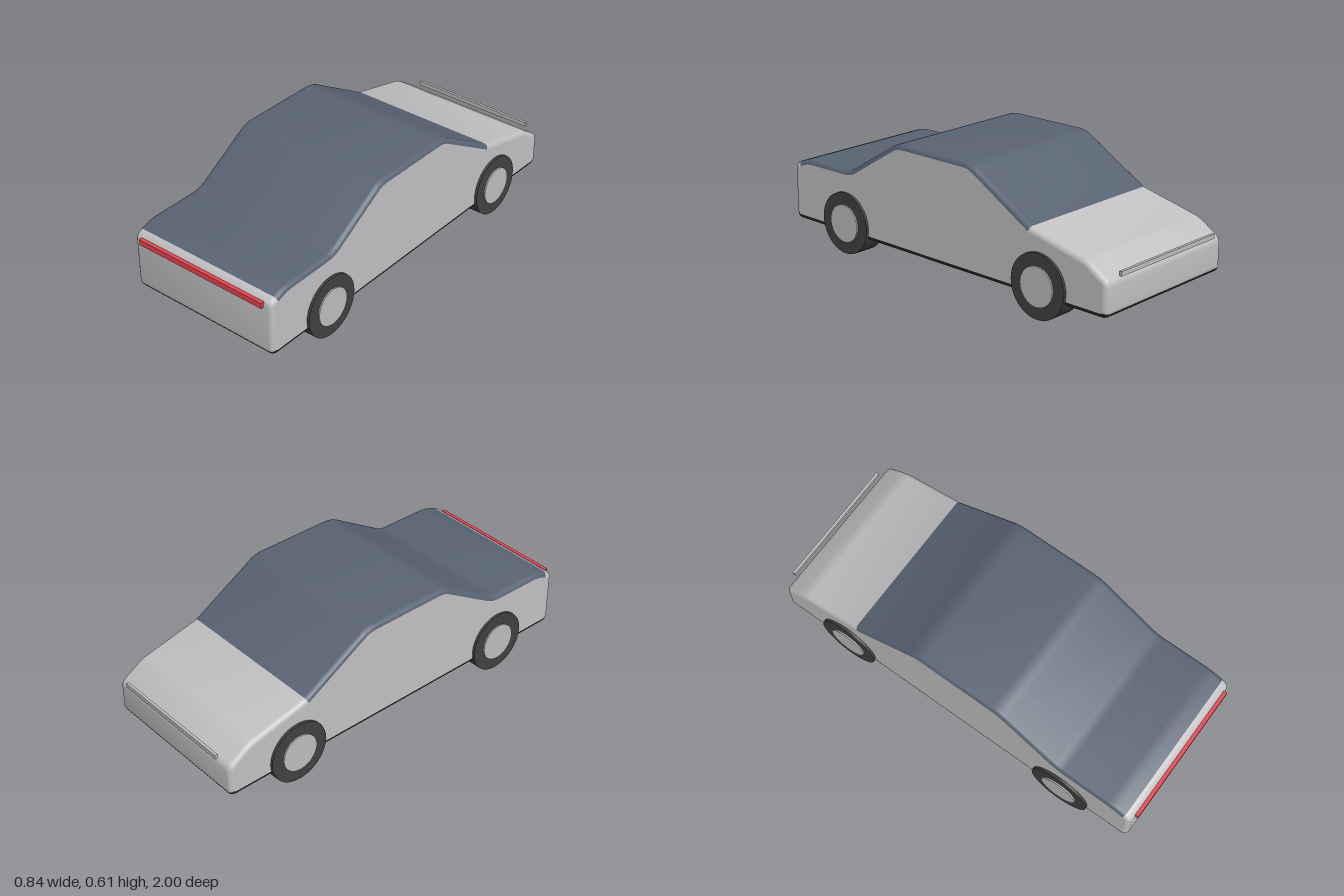
import * as THREE from 'three';
import { toCreasedNormals } from 'three/addons/utils/BufferGeometryUtils.js';

const paint = (name, color) => {
  const m = new THREE.MeshStandardMaterial({ color });
  m.name = name;
  return m;
};

const HALF_WIDTH = 0.4, BEVEL = 0.023;

// side outline, nose bottom -> over the roof -> tail bottom: [z, y, corner cut]
const CORNERS = [
  [0.985, 0.095, 0.035], [0.985, 0.373, 0.025], [0.95, 0.389, 0], [0.885, 0.411, 0.03],
  [0.585, 0.414, 0.035], [0.262, 0.611, 0.04], [-0.2, 0.611, 0.04], [-0.555, 0.404, 0],
  [-0.868, 0.332, 0.03], [-0.985, 0.257, 0.025], [-0.985, 0.095, 0.035],
];

function roundedOutline() {
  const pts = [];
  CORNERS.forEach(([z, y, cut], i) => {
    const p = new THREE.Vector2(z, y);
    if (!cut) return pts.push(p);
    const n = CORNERS.length;
    const toward = (c) => {
      const q = new THREE.Vector2(c[0], c[1]).sub(p);
      return q.setLength(Math.min(cut, q.length() * 0.8)).add(p);
    };
    const curve = new THREE.QuadraticBezierCurve(
      toward(CORNERS[(i + n - 1) % n]), p, toward(CORNERS[(i + 1) % n]));
    pts.push(...curve.getPoints(5));
  });
  return pts;
}

// mitred offset of the outline towards the inside
function inset(pts, d) {
  const n = pts.length;
  return pts.map((p, i) => {
    const a = p.clone().sub(pts[(i + n - 1) % n]).normalize();
    const b = pts[(i + 1) % n].clone().sub(p).normalize();
    const na = new THREE.Vector2(a.y, -a.x), nb = new THREE.Vector2(b.y, -b.x);
    const miter = na.clone().add(nb).divideScalar(1 + na.dot(nb));
    return p.clone().addScaledVector(miter, -d);
  });
}

function geometryOf(positions) {
  const g = new THREE.BufferGeometry();
  g.setAttribute('position', new THREE.Float32BufferAttribute(positions, 3));
  g.computeVertexNormals();
  return g;
}

// the wrap around the outline with rounded edges, grouped by colour
function shellGeometry(pts) {
  const rings = [];
  for (let k = 0; k <= 4; k++) {
    const a = (k / 4) * Math.PI / 2;
    rings.push([HALF_WIDTH - BEVEL * (1 - Math.cos(a)), BEVEL * (1 - Math.sin(a))]);
  }
  rings.push(...rings.map(([x, d]) => [-x, d]).reverse());
  const loops = rings.map(([x, d]) => inset(pts, d).map((p) => [x, p.y, p.x]));
  const zones = [[], [], []]; // body, glass, underside
  pts.forEach((p, i) => {
    const k = (i + 1) % pts.length, q = pts[k];
    const z = (p.x + q.x) / 2, y = (p.y + q.y) / 2;
    const zone = y < 0.122 ? 2 : (y > 0.389 && z < 0.95 && z > -0.555) ? 1 : 0;
    for (let j = 0; j < loops.length - 1; j++) {
      const a = loops[j][i], b = loops[j][k], c = loops[j + 1][k], d = loops[j + 1][i];
      zones[zone].push(...a, ...b, ...c, ...a, ...c, ...d);
    }
  });
  const g = toCreasedNormals(geometryOf(zones.flat()), 0.55);
  let start = 0;
  zones.forEach((z, i) => {
    g.addGroup(start, z.length / 3, i);
    start += z.length / 3;
  });
  return g;
}

// flat side panel closing the wrap, side = 1 or -1
function sideGeometry(pts, side) {
  const edge = inset(pts, BEVEL);
  const out = [];
  for (const t of THREE.ShapeUtils.triangulateShape(edge, [])) {
    const [a, b, c] = t.map((i) => edge[i]);
    const nx = (b.y - a.y) * (c.x - a.x) - (b.x - a.x) * (c.y - a.y);
    const order = nx * side > 0 ? [a, b, c] : [a, c, b];
    for (const p of order) out.push(side * HALF_WIDTH, p.y, p.x);
  }
  return geometryOf(out);
}

export function createModel() {
  const body = paint('body silver', 0xc0c0c2);
  const glass = paint('blue glass', 0x586372);
  const dark = paint('underside black', 0x2a2a2a);
  const rubber = paint('tyre rubber', 0x404040);
  const metal = paint('hub metal', 0xbcbcbc);
  const red = paint('light red', 0xf44856);

  const car = new THREE.Group();
  car.name = 'car';
  const add = (name, geometry, material, x = 0, y = 0, z = 0, parent = car) => {
    const m = new THREE.Mesh(geometry, material);
    m.name = name;
    m.position.set(x, y, z);
    parent.add(m);
    return m;
  };

  const pts = roundedOutline();
  add('bodyShell', shellGeometry(pts), [body, glass, dark]);
  add('leftSide', sideGeometry(pts, 1), body);
  add('rightSide', sideGeometry(pts, -1), body);

  // wheels, each a tyre with a slightly raised hub
  const tyre = new THREE.CylinderGeometry(0.152, 0.152, 0.11, 40).rotateZ(Math.PI / 2);
  const hub = new THREE.CylinderGeometry(0.093, 0.093, 0.1, 32).rotateZ(Math.PI / 2);
  for (const z of [0.613, -0.613]) {
    for (const side of [1, -1]) {
      const wheel = new THREE.Group();
      wheel.name = (z > 0 ? 'front' : 'rear') + (side > 0 ? 'Left' : 'Right') + 'Wheel';
      wheel.position.set(side * 0.358, 0.152, z);
      car.add(wheel);
      add('tyre', tyre, rubber, 0, 0, 0, wheel);
      add('hub', hub, metal, side * 0.012, 0, 0, wheel);
    }
  }

  // light bars at both ends
  add('frontLightBar', new THREE.BoxGeometry(0.714, 0.028, 0.018), red, 0, 0.356, 0.991);
  add('rearLightBar', new THREE.BoxGeometry(0.65, 0.022, 0.014), metal, 0, 0.284, -0.993);
  return car;
}
